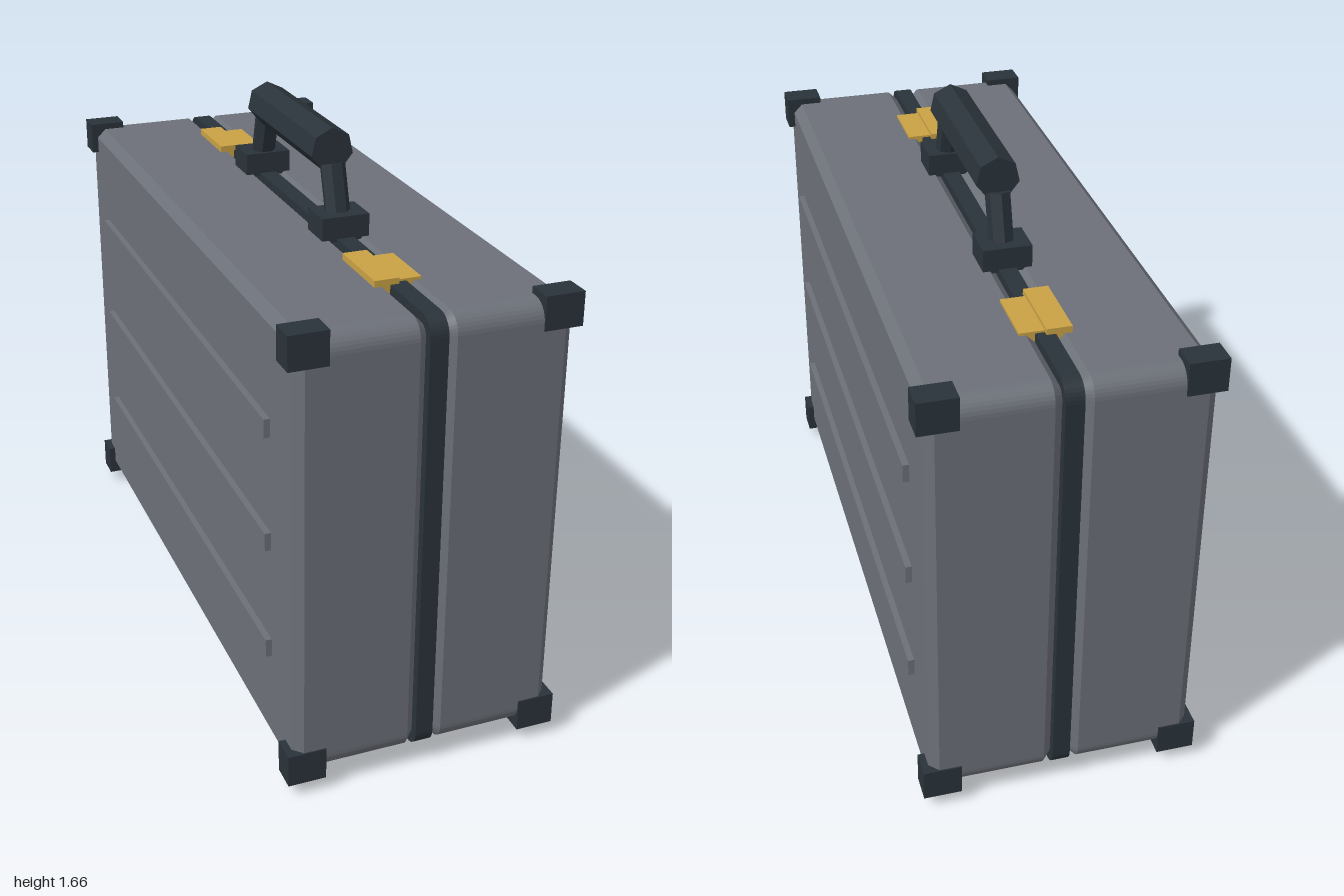
import * as THREE from 'three';

const shellGrey = new THREE.MeshStandardMaterial({ color: 0x6c7078 });
const trimDark = new THREE.MeshStandardMaterial({ color: 0x2a333a });
const brassGold = new THREE.MeshStandardMaterial({ color: 0xc9a244 });
const hingeGrey = new THREE.MeshStandardMaterial({ color: 0x74787d });

const BOTTOM = 0.06, TOP = 1.372, HALF_LENGTH = 0.996;

export function createModel() {
  const model = new THREE.Group();
  model.name = 'briefcase';

  const add = (name, geometry, material) => {
    const mesh = new THREE.Mesh(geometry, material);
    mesh.name = name;
    model.add(mesh);
    return mesh;
  };

  // box given by its extents on each axis
  const box = (name, material, [x0, x1], [y0, y1], [z0, z1]) => {
    const mesh = add(name, new THREE.BoxGeometry(x1 - x0, y1 - y0, z1 - z0), material);
    mesh.position.set((x0 + x1) / 2, (y0 + y1) / 2, (z0 + z1) / 2);
    return mesh;
  };

  // extents mirrored to the side given by sign s
  const side = (s, a, b) => (s > 0 ? [a, b] : [-b, -a]);

  // seven-sided faceted bar along z, with a vertex on top
  const bar = (radius, length) => {
    const g = new THREE.CylinderGeometry(radius, radius, length, 7).rotateX(-Math.PI / 2).toNonIndexed();
    g.computeVertexNormals();
    return g;
  };

  // rounded side outline extruded across the case from x0 to x1
  const slab = (x0, x1, grow, bevel) => {
    const w = HALF_LENGTH + grow, y0 = BOTTOM - grow, y1 = TOP + grow, r = 0.055;
    const s = new THREE.Shape();
    s.moveTo(-w + r, y0);
    s.lineTo(w - r, y0);
    s.absarc(w - r, y0 + r, r, -Math.PI / 2, 0, false);
    s.lineTo(w, y1 - r);
    s.absarc(w - r, y1 - r, r, 0, Math.PI / 2, false);
    s.lineTo(-w + r, y1);
    s.absarc(-w + r, y1 - r, r, Math.PI / 2, Math.PI, false);
    s.lineTo(-w, y0 + r);
    s.absarc(-w + r, y0 + r, r, Math.PI, Math.PI * 1.5, false);
    const g = new THREE.ExtrudeGeometry(s, {
      depth: x1 - x0 - 2 * bevel, curveSegments: 4, bevelEnabled: bevel > 0,
      bevelThickness: bevel, bevelSize: bevel, bevelOffset: -bevel, bevelSegments: 1,
    });
    return g.translate(0, 0, x0 + bevel).rotateY(Math.PI / 2);
  };

  // seam band between the two shells
  add('seamBand', slab(-0.026, 0.026, 0.002, 0), trimDark);

  for (const sx of [1, -1]) {
    const half = sx > 0 ? 'left' : 'right';
    add(half + 'Shell', slab(...side(sx, 0.024, 0.387), 0, 0.027), shellGrey);

    // raised ribs on the broad face
    for (const y of [0.375, 0.714, 1.054]) {
      box(half + 'Rib', shellGrey, side(sx, 0.38, 0.405), [y - 0.027, y + 0.027], [-0.817, 0.817]);
    }

    // corner guards
    for (const sz of [1, -1]) {
      for (const y of [[0.041, 0.138], [1.294, 1.391]]) {
        box(half + 'CornerGuard', trimDark, side(sx, 0.296, 0.407), y, side(sz, 0.922, 1));
      }
    }
  }

  for (const sz of [1, -1]) {
    // two-part latch
    box('latchPlate', brassGold, [-0.071, 0], [1.35, 1.391], side(sz, 0.527, 0.747));
    box('latchHasp', brassGold, [0, 0.07], [1.35, 1.38], side(sz, 0.547, 0.732));

    // hinge knuckles under the seam
    for (const z of [0.503, 0.688]) {
      add('hingeKnuckle', bar(0.049, 0.135), hingeGrey).position.set(0, 0.045, sz * z);
    }

    // feet
    box('foot', trimDark, [-0.32, -0.07], [0.012, 0.07], side(sz, 0.645, 0.843));

    // handle mount and slanted post
    box('handleMount', trimDark, [-0.071, 0.071], [1.365, 1.438], side(sz, 0.265, 0.378));
    const from = new THREE.Vector3(0, 1.4, sz * 0.322);
    const to = new THREE.Vector3(0, 1.56, sz * 0.272);
    const post = add('handlePost', bar(0.037, from.distanceTo(to)), trimDark);
    post.position.copy(from).add(to).multiplyScalar(0.5);
    post.quaternion.setFromUnitVectors(new THREE.Vector3(0, 0, 1), to.clone().sub(from).normalize());
  }

  // handle grip
  add('handleGrip', bar(0.064, 0.543), trimDark).position.set(0, 1.6, 0);

  return model;
}
